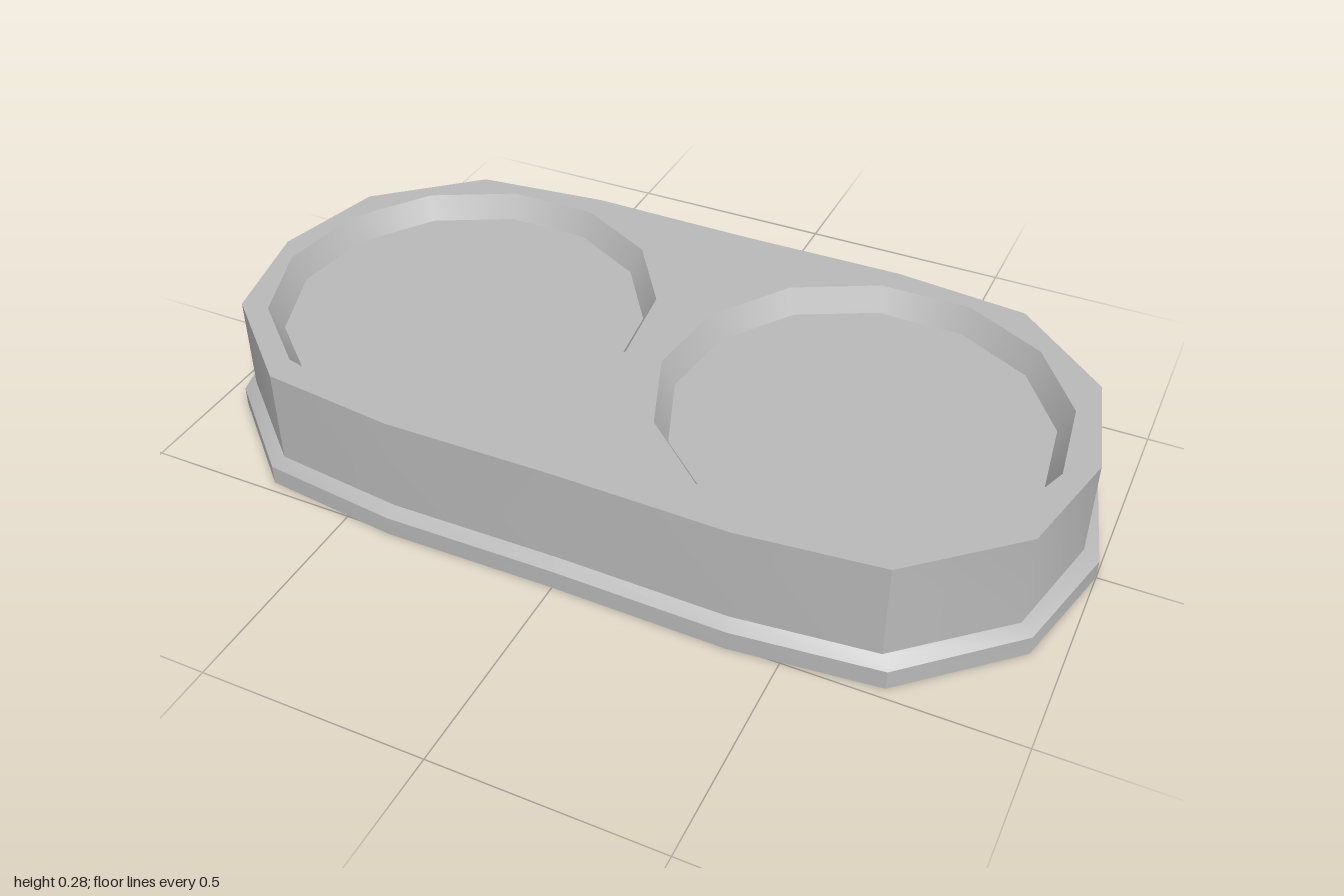
import * as THREE from 'three';
import { toCreasedNormals } from 'three/addons/utils/BufferGeometryUtils.js';

// Expand a quarter outline (from +x end to the waist at x = 0) to a full loop of [x, z]
function fullOutline(q) {
  const half = [...q, ...q.slice(0, -1).reverse().map(([x, z]) => [-x, z])];
  return [...half, ...half.slice(1, -1).reverse().map(([x, z]) => [x, -z])];
}

const flangeLine = fullOutline([[1, 0], [0.933, 0.268], [0.708, 0.475], [0.39, 0.51], [0, 0.505]]);
const bodyLine = fullOutline([[0.965, 0], [0.905, 0.258], [0.688, 0.453], [0.383, 0.486], [0, 0.481]]);

const FLANGE_Y = 0.045, BODY_Y = 0.065, TOP_Y = 0.285, FLOOR_Y = 0.23;
const SIDES = 13, RIM_R = 0.436, FLOOR_R = 0.406;
const WELLS = [['leftWell', 0.468], ['rightWell', -0.483]];

// Outward-facing wall between two loops of equal length
function wall(lower, y0, upper, y1) {
  const pos = [];
  lower.forEach((a, i) => {
    const j = (i + 1) % lower.length;
    const b = lower[j], c = upper[j], d = upper[i];
    pos.push(a[0], y0, a[1], d[0], y1, d[1], c[0], y1, c[1]);
    pos.push(a[0], y0, a[1], c[0], y1, c[1], b[0], y0, b[1]);
  });
  const g = new THREE.BufferGeometry();
  g.setAttribute('position', new THREE.Float32BufferAttribute(pos, 3));
  return toCreasedNormals(g, THREE.MathUtils.degToRad(35.5));
}

const toShape = (line) => new THREE.Shape(line.map(([x, z]) => new THREE.Vector2(x, -z)));

export function createModel() {
  const grey = new THREE.MeshStandardMaterial({ color: 0xb8b8b8, side: THREE.DoubleSide });
  grey.name = 'grey';
  const model = new THREE.Group();
  model.name = 'doubleWellTray';
  const add = (name, geometry, x = 0, y = 0) => {
    const mesh = new THREE.Mesh(geometry, grey);
    mesh.name = name;
    mesh.position.set(x, y, 0);
    model.add(mesh);
  };

  // Foot flange, its sloped shoulder and the upright body
  add('underside', new THREE.ShapeGeometry(toShape(flangeLine)).rotateX(-Math.PI / 2).scale(1, 1, -1).rotateZ(Math.PI));
  add('flangeWall', wall(flangeLine, 0, flangeLine, FLANGE_Y));
  add('flangeShoulder', wall(flangeLine, FLANGE_Y, bodyLine, BODY_Y));
  add('bodyWall', wall(bodyLine, BODY_Y, bodyLine, TOP_Y));

  // Top plate with two well openings
  const top = toShape(bodyLine);
  for (const [, cx] of WELLS) {
    const pts = [];
    for (let i = 0; i < SIDES; i++) {
      const a = (i / SIDES) * Math.PI * 2;
      pts.push(new THREE.Vector2(cx + RIM_R * Math.sin(a), -RIM_R * Math.cos(a)));
    }
    top.holes.push(new THREE.Path(pts));
  }
  add('topPlate', new THREE.ShapeGeometry(top).rotateX(-Math.PI / 2), 0, TOP_Y);

  // Shallow tapered wells
  for (const [name, cx] of WELLS) {
    const depth = TOP_Y - FLOOR_Y;
    const side = new THREE.CylinderGeometry(RIM_R, FLOOR_R, depth, SIDES, 1, true);
    // Turn the wall to face inward
    const idx = side.index.array;
    for (let i = 0; i < idx.length; i += 3) [idx[i], idx[i + 1]] = [idx[i + 1], idx[i]];
    const n = side.attributes.normal;
    for (let i = 0; i < n.count; i++) n.setXYZ(i, -n.getX(i), -n.getY(i), -n.getZ(i));
    add(name + 'Side', side, cx, FLOOR_Y + depth / 2);
    add(name + 'Floor', new THREE.CircleGeometry(FLOOR_R, SIDES, -Math.PI / 2).rotateX(-Math.PI / 2), cx, FLOOR_Y);
  }
  return model;
}
